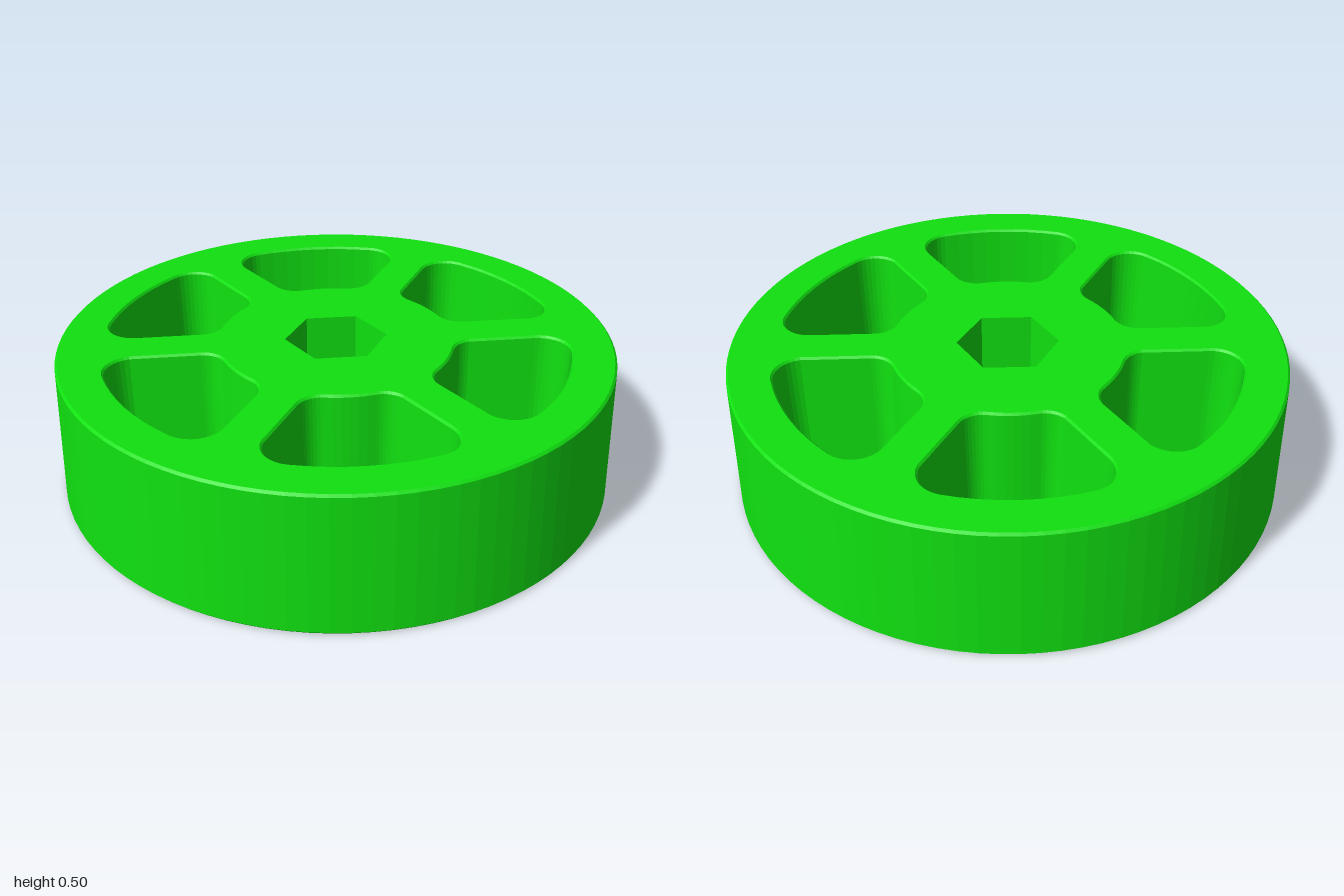
import * as THREE from 'three';

const HEIGHT = 0.5;
const polar = (r, a) => new THREE.Vector2(r * Math.cos(a), r * Math.sin(a));

// Regular outline, counter-clockwise
const ring = (radius, sides) =>
  Array.from({ length: sides }, (_, i) => polar(radius, (i / sides) * Math.PI * 2));

// Rounded window between two spokes; grow widens it evenly on all sides
function windowOutline(axis, grow) {
  const outerR = 0.815 + grow, innerR = 0.437 - grow;
  const outerFillet = 0.085 + grow, innerFillet = 0.07 + grow;
  const outerC = 0.73, innerC = 0.507; // distance of fillet centres from the axle
  const a1 = Math.PI / 6 - Math.asin(0.175 / outerC);
  const a2 = Math.PI / 6 - Math.asin(0.16 / innerC);
  const side = (Math.PI * 2) / 3, PI = Math.PI;
  const points = [];
  const arc = (centreR, centreA, r, from, to, n) => {
    const centre = polar(centreR, axis + centreA);
    for (let i = 1; i <= n; i++) {
      points.push(polar(r, axis + from + ((to - from) * i) / n).add(centre));
    }
  };
  arc(0, 0, outerR, -a1, a1, 8);
  arc(outerC, a1, outerFillet, a1, side, 10);
  arc(innerC, a2, innerFillet, side, a2 + PI, 8);
  arc(0, 0, innerR, a2, -a2, 6);
  arc(innerC, -a2, innerFillet, PI - a2, 2 * PI - side, 8);
  arc(outerC, -a1, outerFillet, 2 * PI - side, 2 * PI - a1, 10);
  return points;
}

// Wall through outlines at rising heights; inward walls line a hole
function loft(levels, inward) {
  const positions = [], index = [];
  const n = levels[0].points.length;
  for (const { y, points } of levels) {
    for (const p of points) positions.push(p.x, y, -p.y);
  }
  for (let k = 0; k < levels.length - 1; k++) {
    for (let i = 0; i < n; i++) {
      const a = k * n + i, b = k * n + ((i + 1) % n), c = b + n, d = a + n;
      if (inward) index.push(a, c, b, a, d, c);
      else index.push(a, b, c, a, c, d);
    }
  }
  const geometry = new THREE.BufferGeometry();
  geometry.setAttribute('position', new THREE.Float32BufferAttribute(positions, 3));
  geometry.setIndex(index);
  geometry.computeVertexNormals();
  return geometry;
}

export function createModel() {
  const group = new THREE.Group();
  group.name = 'spokedWheel';
  const material = new THREE.MeshStandardMaterial({ color: 0x10e010, flatShading: true });
  const add = (name, geometry) => {
    const mesh = new THREE.Mesh(geometry, material);
    mesh.name = name;
    group.add(mesh);
    return mesh;
  };

  // Tapered rim with softened edges
  const rim = [[0, 0.993], [0.008, 1], [0.492, 0.983], [HEIGHT, 0.975]]
    .map(([y, r]) => ({ y, points: ring(r, 96) }));
  add('rimWall', loft(rim, false));

  // Hexagonal axle bore
  const hex = ring(0.182, 6);
  add('axleBore', loft([{ y: 0, points: hex }, { y: HEIGHT, points: hex }], true));

  // Six windows, wider towards the top
  const topHoles = [hex], bottomHoles = [hex];
  for (let i = 0; i < 6; i++) {
    const axis = Math.PI / 6 + (i * Math.PI) / 3;
    const levels = [[0, 0], [0.492, 0.015], [HEIGHT, 0.022]]
      .map(([y, grow]) => ({ y, points: windowOutline(axis, grow) }));
    add('windowWall' + (i + 1), loft(levels, true));
    bottomHoles.push(levels[0].points);
    topHoles.push(levels[2].points);
  }

  // Flat faces of the wheel
  const face = (outline, holes) => {
    const shape = new THREE.Shape(outline);
    shape.holes = holes.map((points) => new THREE.Path(points));
    return new THREE.ShapeGeometry(shape);
  };
  add('topFace', face(rim[3].points, topHoles).rotateX(-Math.PI / 2).translate(0, HEIGHT, 0));
  add('bottomFace', face(rim[0].points, bottomHoles).rotateX(Math.PI / 2));

  return group;
}
